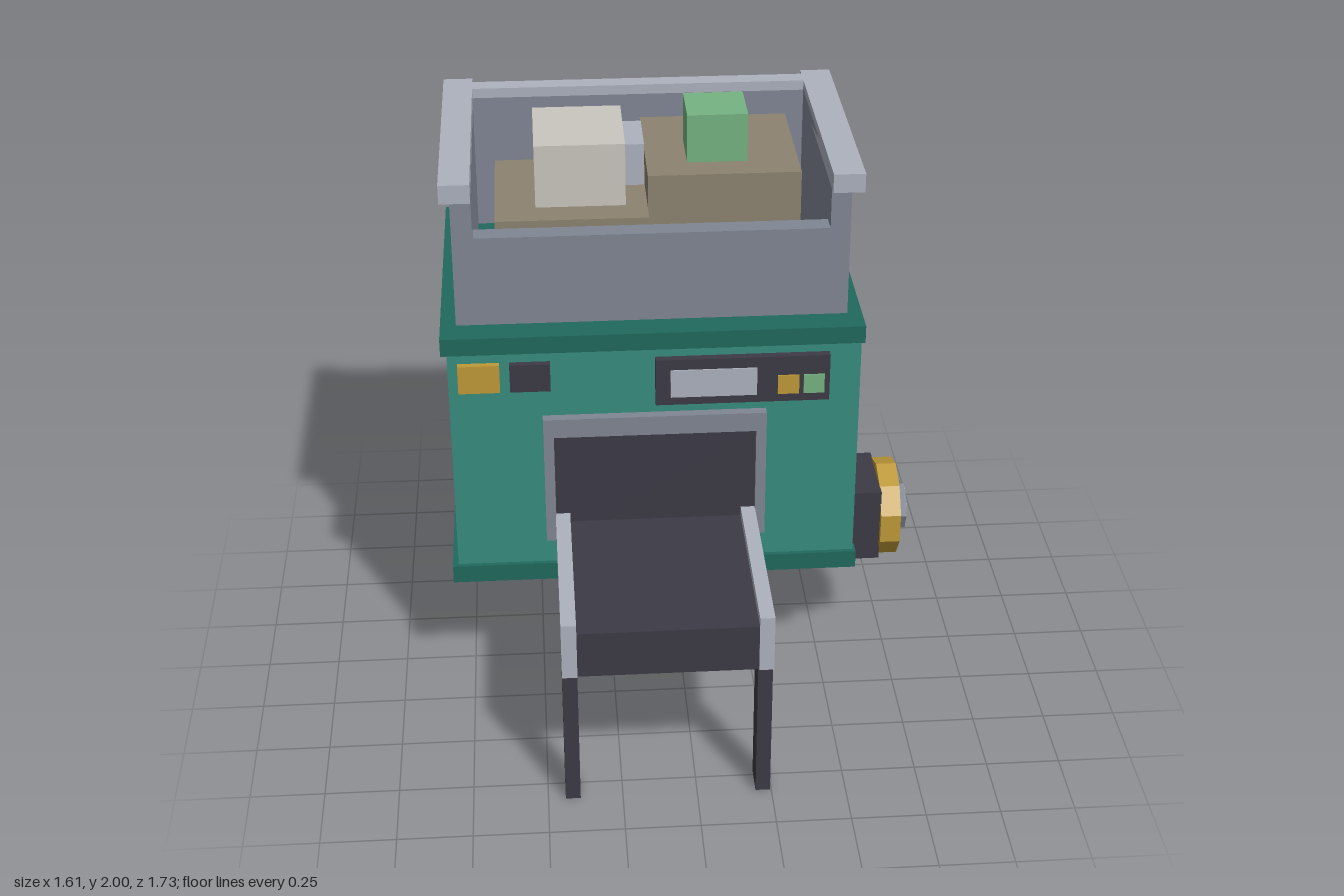
import * as THREE from 'three';

const paint = (name, color) => {
  const m = new THREE.MeshStandardMaterial({ color });
  m.name = name;
  m.flatShading = true;
  return m;
};

export function createModel() {
  const model = new THREE.Group();
  model.name = 'conveyorMachine';
  const teal = paint('teal', 0x378c7f);
  const darkTeal = paint('darkTeal', 0x20695d);
  const gold = paint('gold', 0xbe9938);
  const charcoal = paint('charcoal', 0x3c3a45);
  const lightGrey = paint('lightGrey', 0xadb2be);
  const midGrey = paint('midGrey', 0x808694);
  const green = paint('green', 0x75b381);
  const cream = paint('cream', 0xc9c6be);
  const brown = paint('brown', 0x8c8270);

  // Box given by its extents on each axis
  const box = (name, mat, [x0, x1], [y0, y1], [z0, z1], parent = model) => {
    const mesh = new THREE.Mesh(new THREE.BoxGeometry(x1 - x0, y1 - y0, z1 - z0), mat);
    mesh.position.set((x0 + x1) / 2, (y0 + y1) / 2, (z0 + z1) / 2);
    mesh.name = name;
    parent.add(mesh);
    return mesh;
  };
  const group = (name) => {
    const g = new THREE.Group();
    g.name = name;
    model.add(g);
    return g;
  };

  // Cabinet with trim bands at top and bottom
  box('cabinet', teal, [-0.785, 0.597], [0.5, 1.37], [-0.857, 0.172]);
  box('bottomTrim', darkTeal, [-0.805, 0.607], [0.455, 0.52], [-0.865, 0.188]);
  box('topTrim', darkTeal, [-0.805, 0.607], [1.35, 1.412], [-0.865, 0.188]);

  // Hopper: tall sides and back, low front
  const hopper = group('hopper');
  box('hopperLeftWall', midGrey, [0.49, 0.557], [1.41, 1.9], [-0.775, 0.088], hopper);
  box('hopperRightWall', midGrey, [-0.752, -0.683], [1.41, 1.9], [-0.775, 0.088], hopper);
  box('hopperBackWall', midGrey, [-0.683, 0.49], [1.41, 1.897], [-0.775, -0.712], hopper);
  box('hopperFrontWall', midGrey, [-0.683, 0.49], [1.41, 1.728], [0.018, 0.088], hopper);
  box('leftRail', lightGrey, [0.49, 0.595], [1.867, 1.932], [-0.812, 0.12], hopper);
  box('rightRail', lightGrey, [-0.785, -0.683], [1.867, 1.932], [-0.812, 0.12], hopper);
  box('backRail', lightGrey, [-0.683, 0.49], [1.897, 1.932], [-0.778, -0.712], hopper);

  // Packages piled in the hopper
  const cargo = group('packages');
  box('rightCrate', brown, [-0.612, -0.097], [1.412, 1.71], [-0.59, -0.075], cargo);
  box('leftCrate', brown, [-0.097, 0.42], [1.412, 1.83], [-0.66, -0.143], cargo);
  box('creamPackage', cream, [-0.475, -0.17], [1.71, 1.932], [-0.523, -0.18], cargo);
  box('greyPackage', lightGrey, [-0.302, -0.098], [1.71, 1.86], [-0.555, -0.345], cargo);
  box('greenPackage', green, [0.042, 0.247], [1.83, 2.0], [-0.45, -0.247], cargo);

  // Control panel, screen, buttons and labels
  const controls = group('controls');
  box('controlPanel', charcoal, [-0.095, 0.49], [1.145, 1.315], [0.17, 0.2], controls);
  box('screen', lightGrey, [-0.045, 0.245], [1.175, 1.277], [0.199, 0.205], controls);
  box('goldButton', gold, [0.315, 0.387], [1.175, 1.245], [0.199, 0.205], controls);
  box('greenButton', green, [0.402, 0.472], [1.175, 1.245], [0.199, 0.205], controls);
  box('goldLabel', gold, [-0.752, -0.613], [1.21, 1.312], [0.17, 0.195], controls);
  box('darkLabel', charcoal, [-0.58, -0.445], [1.21, 1.312], [0.17, 0.195], controls);

  // Outlet frame around a dark opening
  const outlet = group('outlet');
  box('frameTop', midGrey, [-0.475, 0.28], [1.035, 1.105], [0.17, 0.206], outlet);
  box('frameRight', midGrey, [-0.475, -0.44], [0.625, 1.035], [0.17, 0.206], outlet);
  box('frameLeft', midGrey, [0.245, 0.28], [0.625, 1.035], [0.17, 0.206], outlet);
  box('opening', charcoal, [-0.44, 0.245], [0.6, 1.035], [0.17, 0.192], outlet);

  // Conveyor with side rails and legs
  const conveyor = group('conveyor');
  box('belt', charcoal, [-0.392, 0.197], [0.525, 0.692], [0.17, 0.862], conveyor);
  for (const [side, x] of [['right', [-0.442, -0.392]], ['left', [0.197, 0.246]]]) {
    box(side + 'ConveyorRail', lightGrey, x, [0.523, 0.726], [0.17, 0.865], conveyor);
    box(side + 'Leg', charcoal, x, [0, 0.523], [0.73, 0.832], conveyor);
  }

  // Hand wheel on the left side: mount, wheel and hub along x
  const wheel = group('handWheel');
  box('wheelMount', charcoal, [0.595, 0.698], [0.455, 0.727], [-0.137, 0.137], wheel);
  const disc = (name, mat, radius, sides, x0, x1) => {
    const geo = new THREE.CylinderGeometry(radius, radius, x1 - x0, sides);
    geo.rotateY(Math.PI / 2).rotateZ(-Math.PI / 2);
    const mesh = new THREE.Mesh(geo, mat);
    mesh.position.set((x0 + x1) / 2, 0.591, 0);
    mesh.name = name;
    wheel.add(mesh);
  };
  disc('wheelRim', gold, 0.171, 10, 0.696, 0.766);
  disc('wheelHub', midGrey, 0.086, 8, 0.76, 0.8);
  disc('hubCap', lightGrey, 0.075, 6, 0.796, 0.803);

  return model;
}
